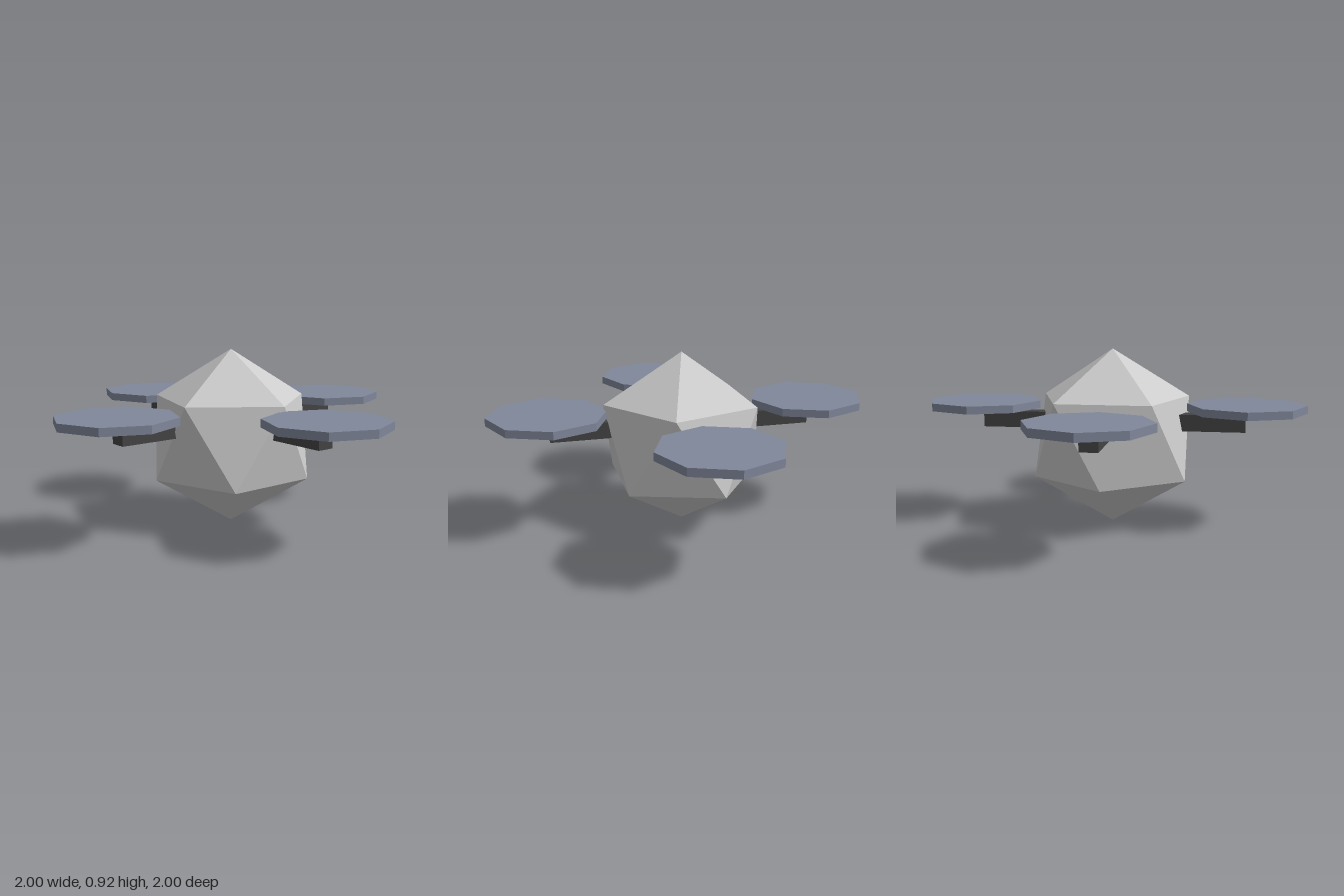
import * as THREE from 'three';
import { ConvexGeometry } from 'three/addons/geometries/ConvexGeometry.js';

const material = (color) => new THREE.MeshStandardMaterial({ color, flatShading: true });

function addMesh(parent, name, geometry, mat, x, y, z) {
  const mesh = new THREE.Mesh(geometry, mat);
  mesh.name = name;
  mesh.position.set(x, y, z);
  parent.add(mesh);
  return mesh;
}

// Icosahedron standing on one vertex: two poles and two staggered rings of five
function bodyGeometry(radius) {
  const ringRadius = radius * 2 / Math.sqrt(5);
  const ringHeight = radius / Math.sqrt(5);
  const points = [new THREE.Vector3(0, radius, 0), new THREE.Vector3(0, -radius, 0)];
  for (let i = 0; i < 10; i++) {
    const angle = i * Math.PI / 5;
    points.push(new THREE.Vector3(
      ringRadius * Math.cos(angle),
      i % 2 === 0 ? ringHeight : -ringHeight,
      ringRadius * Math.sin(angle)
    ));
  }
  return new ConvexGeometry(points);
}

export function createModel() {
  const model = new THREE.Group();
  model.name = 'drone';

  const bodyMaterial = material(0xcccccc);
  const armMaterial = material(0x444444);
  const rotorMaterial = material(0x80879a);

  addMesh(model, 'body', bodyGeometry(0.46), bodyMaterial, 0, 0.46, 0);

  // Four arms, each carrying an octagonal rotor disc
  const armGeometry = new THREE.BoxGeometry(0.46, 0.085, 0.09);
  const rotorGeometry = new THREE.CylinderGeometry(0.305, 0.305, 0.04, 8);
  const names = ['left', 'back', 'right', 'front'];
  names.forEach((side, i) => {
    const unit = new THREE.Group();
    unit.name = `${side}RotorUnit`;
    unit.rotation.y = i * Math.PI / 2;
    addMesh(unit, 'arm', armGeometry, armMaterial, 0.46, 0.543, 0);
    addMesh(unit, 'rotor', rotorGeometry, rotorMaterial, 0.695, 0.62, 0);
    model.add(unit);
  });

  return model;
}
